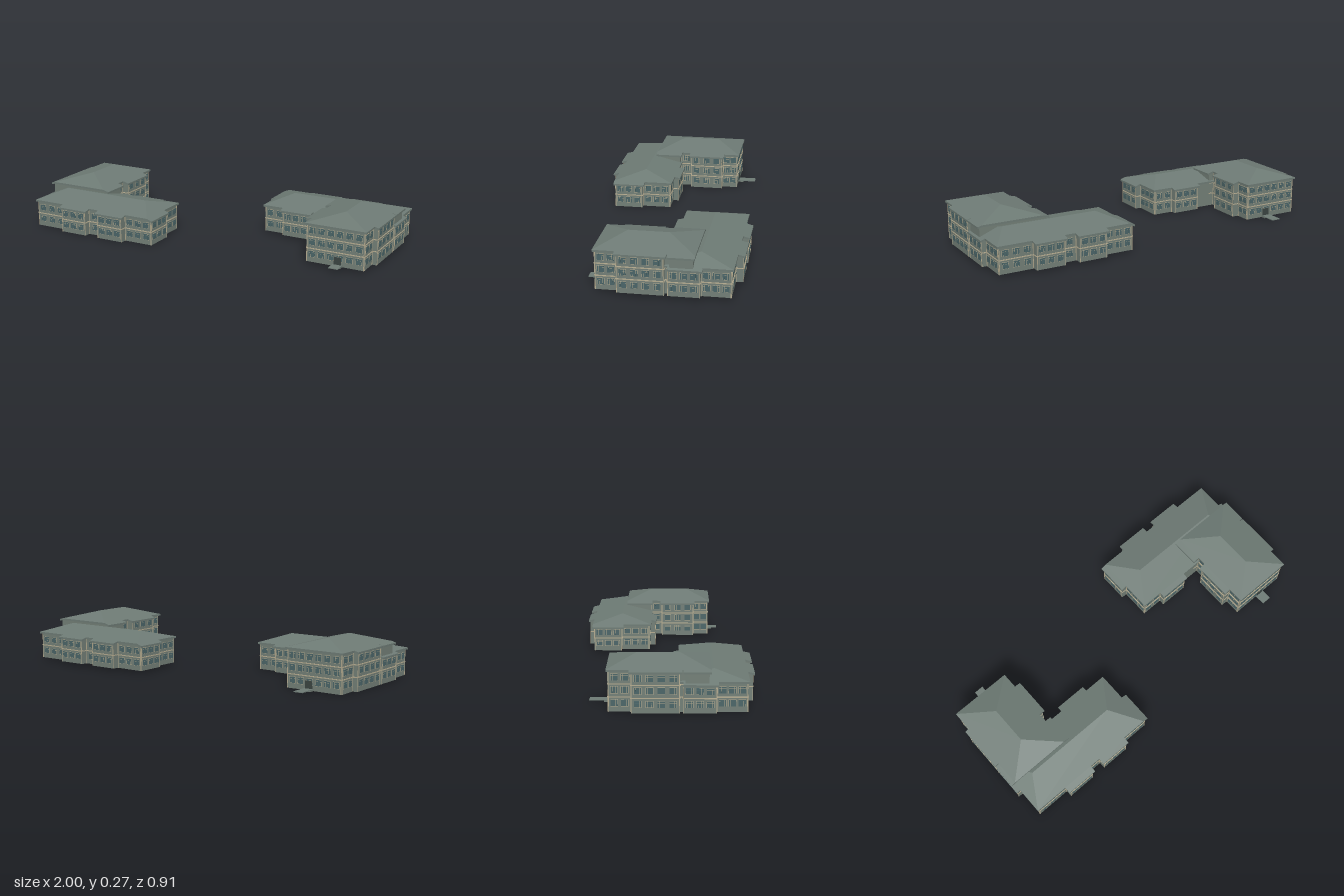
import * as THREE from 'three';
import { mergeGeometries } from 'three/addons/utils/BufferGeometryUtils.js';

const mat = (name, color) => {
  const m = new THREE.MeshStandardMaterial({ color });
  m.name = name;
  return m;
};

// Prism standing on a ground outline of [x, z] points
function prism(points, height) {
  const shape = new THREE.Shape(points.map(([x, z]) => new THREE.Vector2(x, -z)));
  return new THREE.ExtrudeGeometry(shape, { depth: height, bevelEnabled: false }).rotateX(-Math.PI / 2);
}

// Hip roof over a rectangle; its slopes continue down over the bays
function hipRoof({ x0, x1, z0, z1, eave, rise, runs, bays }) {
  const thick = 0.01, [rw, re, rn, rs] = runs;
  const heightAt = (x, z) =>
    eave + rise * Math.min((x - x0) / rw, (x1 - x) / re, (z - z0) / rn, (z1 - z) / rs, 1);
  const nw = [x0, z0], ne = [x1, z0], se = [x1, z1], sw = [x0, z1];
  const W = [x0 + rw, z0 + rn], E = [x1 - re, z0 + rn];
  const S = [x0 + rw, z1 - rs], F = [x1 - re, z1 - rs];
  const faces = [[nw, ne, E, W], [ne, se, F, E], [se, sw, S, F], [sw, nw, W, S]];
  for (const [a, b, c, d] of bays) faces.push([[a, c], [b, c], [b, d], [a, d]]);
  const parts = faces.map((face) => {
    // drop repeated ridge points so that end faces become triangles
    const pts = face.filter((p, i) => {
      const q = face[(i + 1) % face.length];
      return Math.hypot(p[0] - q[0], p[1] - q[1]) > 1e-5;
    });
    const g = prism(pts, thick), pos = g.attributes.position;
    for (let i = 0; i < pos.count; i++)
      pos.setY(i, pos.getY(i) - thick + heightAt(pos.getX(i), pos.getZ(i)));
    g.computeVertexNormals();
    return g;
  });
  return mergeGeometries(parts);
}

// Outlines run clockwise as seen from above
const lowOutline = [
  [0.20, -0.41], [0.37, -0.41], [0.37, -0.445], [0.53, -0.445], [0.53, -0.41],
  [0.61, -0.41], [0.61, -0.445], [0.77, -0.445], [0.77, -0.41], [0.96, -0.41],
  [0.96, -0.26], [0.985, -0.26], [0.985, -0.1], [0.96, -0.1], [0.96, -0.09],
  [0.51, -0.09], [0.51, -0.06], [0.35, -0.06], [0.35, -0.09], [0.23, -0.09],
  [0.23, -0.25], [0.20, -0.25],
];
const tallOutline = [
  [0.61, -0.225], [0.98, -0.225], [0.98, -0.11], [0.96, -0.11], [0.96, -0.085],
  [0.985, -0.085], [0.985, 0.15], [0.96, 0.15], [0.96, 0.26], [0.64, 0.26],
  [0.64, 0.17], [0.605, 0.17], [0.605, -0.02], [0.64, -0.02], [0.64, -0.09], [0.61, -0.09],
];
const lowRoof = {
  x0: 0.22, x1: 0.97, z0: -0.42, z1: -0.08, eave: 0.151, rise: 0.042,
  runs: [0.115, 0.105, 0.17, 0.17],
  bays: [[0.36, 0.54, -0.455, -0.42], [0.6, 0.78, -0.455, -0.42], [0.34, 0.52, -0.08, -0.05],
    [0.19, 0.22, -0.42, -0.24], [0.97, 0.993, -0.27, -0.1]],
};
const tallRoof = {
  x0: 0.63, x1: 0.97, z0: -0.235, z1: 0.27, eave: 0.21, rise: 0.046,
  runs: [0.17, 0.17, 0.15, 0.145],
  bays: [[0.595, 0.63, -0.235, -0.08], [0.595, 0.63, -0.03, 0.18],
    [0.97, 0.993, -0.235, -0.1], [0.97, 0.993, -0.095, 0.16]],
};

const floors = [0.028, 0.093, 0.156];   // window sill heights
const windowHeight = 0.033;

export function createModel() {
  const wall = mat('wall grey green', 0x727e76);
  const roof = mat('roof grey green', 0x6d7a74);
  const trim = mat('cream trim', 0xb3aa8f);
  const glass = mat('teal glass', 0x4a6467);
  const dark = mat('dark door', 0x3a4441);

  function addMesh(group, name, geometry, material) {
    const m = new THREE.Mesh(geometry, material);
    m.name = name;
    group.add(m);
  }

  // Windows, belts and corner strips along every wall of an outline
  function addDetails(group, prefix, outline, storeys, skip) {
    const trims = [], panes = [];
    outline.forEach(([ax, az], i) => {
      const [bx, bz] = outline[(i + 1) % outline.length];
      const len = Math.hypot(bx - ax, bz - az);
      const dx = (bx - ax) / len, dz = (bz - az) / len;
      if (skip((ax + bx) / 2, (az + bz) / 2)) return;
      // plate at distance s along the wall, standing out by d
      const plate = (list, s, y, w, h, d) => list.push(
        new THREE.BoxGeometry(w, h, d * 2)
          .rotateY(Math.atan2(dz, -dx))
          .translate(ax + dx * s, y, az + dz * s));
      for (let f = 1; f < storeys; f++) plate(trims, len / 2, 0.01 + f * 0.064, len, 0.005, 0.003);
      if (len < 0.05) return;
      const top = storeys === 3 ? 0.2 : 0.142;
      for (const s of [0.003, len - 0.003]) plate(trims, s, top / 2, 0.003, top, 0.002);
      const n = Math.max(1, Math.round((len - 0.01) / 0.053));
      for (let k = 0; k < n; k++) {
        const s = 0.005 + ((k + 0.5) * (len - 0.01)) / n;
        for (let f = 0; f < storeys; f++) {
          const y = floors[f] + windowHeight / 2;
          plate(trims, s, y, 0.0365, windowHeight + 0.002, 0.0015);
          for (const [o, w] of [[-0.0128, 0.0085], [0, 0.0145], [0.0128, 0.0085]]) {
            plate(panes, s + o, y - 0.005, w, 0.022, 0.0025);
            plate(panes, s + o, y + 0.0115, w, 0.0085, 0.0025);
          }
        }
      }
    });
    addMesh(group, prefix + 'Trim', mergeGeometries(trims), trim);
    addMesh(group, prefix + 'WindowPanes', mergeGeometries(panes), glass);
  }

  // L-shaped building: a two-storey wing and a three-storey wing
  function building(name, doorX, pathLength) {
    const g = new THREE.Group();
    g.name = name;
    addMesh(g, 'lowWingWalls', prism(lowOutline, 0.143), wall);
    addMesh(g, 'tallWingWalls', prism(tallOutline, 0.202), wall);
    addMesh(g, 'lowWingRoof', hipRoof(lowRoof), roof);
    addMesh(g, 'tallWingRoof', hipRoof(tallRoof), roof);
    addDetails(g, 'lowWing', lowOutline, 2, (x, z) => x > 0.62 && z > -0.1);
    addDetails(g, 'tallWing', tallOutline, 3, (x, z) => z < -0.1);
    // entrance door, step and path
    const box = (w, h, d, y, z) => new THREE.BoxGeometry(w, h, d).translate(doorX, y, z);
    addMesh(g, 'entranceDoor', box(0.04, 0.048, 0.008, 0.026, 0.26), dark);
    addMesh(g, 'entranceStep', box(0.052, 0.009, 0.03, 0.0045, 0.275), wall);
    addMesh(g, 'entrancePath', box(0.053, 0.004, pathLength, 0.008, 0.26 + pathLength / 2), roof);
    return g;
  }

  const model = new THREE.Group();
  model.name = 'schoolBuildings';
  const leftBuilding = building('leftBuilding', 0.815, 0.062);
  leftBuilding.position.set(0.004, 0.012, 0);
  // the second building is turned half round
  const rightBuilding = building('rightBuilding', 0.77, 0.103);
  rightBuilding.rotation.y = Math.PI;
  rightBuilding.position.set(-0.01, 0, 0);
  model.add(leftBuilding, rightBuilding);
  return model;
}
